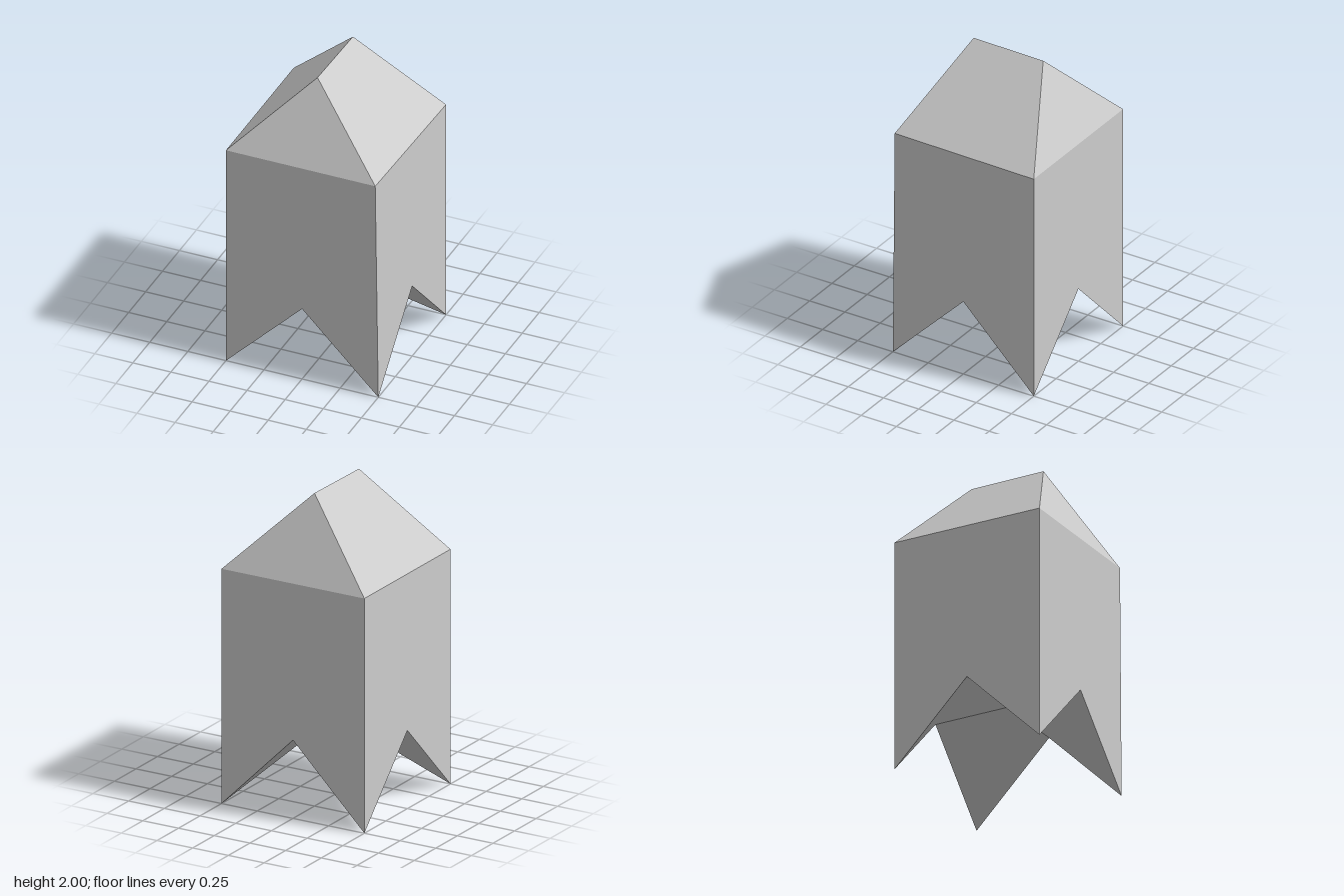
import * as THREE from 'three';

const grey = new THREE.MeshStandardMaterial({ color: 0xcccccc });
grey.name = 'plain grey';

// Flat polygons, each a counter-clockwise loop fanned from its first corner
// and shaded with one normal for the whole polygon.
function facesMesh(name, loops) {
  const positions = [], normals = [];
  for (const loop of loops) {
    const normal = new THREE.Vector3();
    loop.forEach((p, i) => {
      normal.add(new THREE.Vector3().crossVectors(p, loop[(i + 1) % loop.length]));
    });
    normal.normalize();
    for (let i = 1; i < loop.length - 1; i++) {
      for (const p of [loop[0], loop[i], loop[i + 1]]) {
        positions.push(p.x, p.y, p.z);
        normals.push(normal.x, normal.y, normal.z);
      }
    }
  }
  const geometry = new THREE.BufferGeometry();
  geometry.setAttribute('position', new THREE.Float32BufferAttribute(positions, 3));
  geometry.setAttribute('normal', new THREE.Float32BufferAttribute(normals, 3));
  const mesh = new THREE.Mesh(geometry, grey);
  mesh.name = name;
  return mesh;
}

export function createModel() {
  const v = (x, y, z) => new THREE.Vector3(x, y, z);
  const half = 0.5, eaves = 1.5, notch = 0.5;

  // Corners run front-left of the plan, then anticlockwise seen from above.
  const signs = [[-1, 1], [1, 1], [1, -1], [-1, -1]];
  const feet = signs.map(([x, z]) => v(x * half, 0, z * half));
  const tops = signs.map(([x, z]) => v(x * half, eaves, z * half));
  tops[1].x = 0.48; // this corner leans in slightly
  const notches = feet.map((p, i) => p.clone().lerp(feet[(i + 1) % 4], 0.5).setY(notch));
  const centre = v(0, notch, 0);
  const ridgeFront = v(-0.01, 2, 0.25), ridgeBack = v(0, 2, -0.25);

  const walls = [], undersides = [];
  for (let i = 0; i < 4; i++) {
    const next = (i + 1) % 4, previous = (i + 3) % 4;
    // Wall with a V notch in its lower edge
    walls.push([notches[i], feet[next], tops[next], tops[i], feet[i]]);
    // Sloping underside of each pointed foot, folded alternately
    undersides.push(i % 2 === 0
      ? [feet[i], notches[previous], centre, notches[i]]
      : [notches[previous], centre, notches[i], feet[i]]);
  }

  // Hipped roof
  const roof = [
    [tops[0], tops[1], ridgeFront],
    [tops[1], tops[2], ridgeBack, ridgeFront],
    [tops[2], tops[3], ridgeBack],
    [tops[3], tops[0], ridgeFront, ridgeBack],
  ];

  const model = new THREE.Group();
  model.name = 'hippedBlock';
  model.add(
    facesMesh('notchedWalls', walls),
    facesMesh('footUndersides', undersides),
    facesMesh('hippedRoof', roof),
  );
  return model;
}
